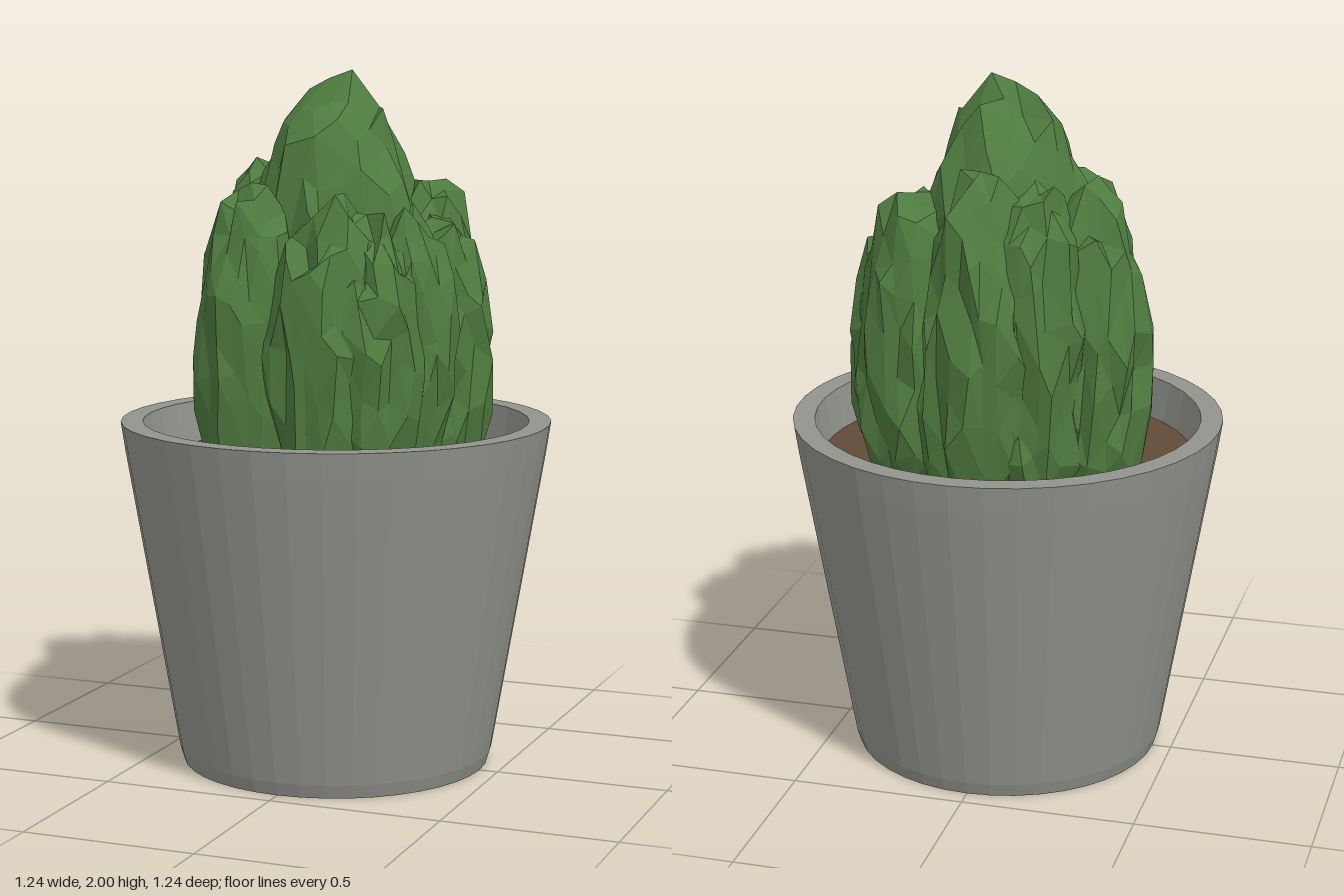
import * as THREE from 'three';
import { mergeVertices, mergeGeometries } from 'three/addons/utils/BufferGeometryUtils.js';

const SOIL_Y = 0.88;

const material = (name, color) => {
  const m = new THREE.MeshStandardMaterial({ color, flatShading: true });
  m.name = name;
  return m;
};

// Small seeded generator for the rough foliage
function seeded(seed) {
  return () => {
    seed = (seed * 16807) % 2147483647;
    return seed / 2147483647;
  };
}

// One upright, craggy clump of leaves, cut off at the soil
function foliageLobe(x, z, radius, top, detail, rand) {
  let g = new THREE.IcosahedronGeometry(1, detail);
  g.deleteAttribute('uv');
  g.deleteAttribute('normal');
  g = mergeVertices(g, 1e-3);
  const p = g.attributes.position;
  const middle = 1.2;
  for (let i = 0; i < p.count; i++) {
    const swell = radius * (0.92 + 0.26 * rand());
    const rise = p.getY(i) > 0 ? top - middle : 0.5;
    const y = middle + p.getY(i) * rise + (rand() - 0.5) * 0.09;
    p.setXYZ(
      i,
      x + p.getX(i) * swell + (rand() - 0.5) * 0.03,
      Math.max(y, SOIL_Y - 0.01),
      z + p.getZ(i) * swell + (rand() - 0.5) * 0.03
    );
  }
  return g;
}

export function createModel() {
  const group = new THREE.Group();
  group.name = 'pottedShrub';
  const add = (name, geometry, mat) => {
    const mesh = new THREE.Mesh(geometry, mat);
    mesh.name = name;
    group.add(mesh);
    return mesh;
  };

  // Tapered pot: base, outer wall, flat rim and inner wall
  const profile = [
    [0, 0], [0.445, 0], [0.457, 0.04], [0.608, 0.92], [0.62, 1],
    [0.557, 1], [0.535, SOIL_Y - 0.02],
  ].map(([r, y]) => new THREE.Vector2(r, y));
  add('pot', new THREE.LatheGeometry(profile, 40), material('stoneGrey', 0x91938c));

  // Soil disc
  const soil = add('soil', new THREE.CircleGeometry(0.539, 40), material('soilBrown', 0x614b39));
  soil.rotation.x = -Math.PI / 2;
  soil.position.y = SOIL_Y;

  // Shrub: a tall core ringed by shorter clumps [x, z, radius, top, detail]
  const rand = seeded(4217);
  const lobes = [
    [0, -0.01, 0.27, 1.98, 4],
    [-0.27, -0.1, 0.155, 1.72, 3],
    [-0.13, -0.2, 0.15, 1.74, 3],
    [0.01, -0.23, 0.165, 1.76, 3],
    [0.23, -0.16, 0.155, 1.7, 3],
    [0.27, -0.06, 0.155, 1.6, 3],
    [0.23, 0.08, 0.15, 1.62, 3],
    [0.18, 0.22, 0.15, 1.6, 3],
    [0.08, 0.26, 0.155, 1.66, 3],
    [-0.16, 0.22, 0.16, 1.68, 3],
    [-0.21, 0.07, 0.145, 1.66, 3],
  ];
  const foliage = mergeGeometries(lobes.map((l) => foliageLobe(...l, rand)));

  // Stretch so the tallest tip reaches full height
  foliage.computeBoundingBox();
  const stretch = (2 - SOIL_Y) / (foliage.boundingBox.max.y - SOIL_Y);
  foliage.translate(0, -SOIL_Y, 0).scale(1, stretch, 1).translate(0, SOIL_Y, 0);
  foliage.computeVertexNormals();
  add('foliage', foliage, material('leafGreen', 0x4f7b3f));

  return group;
}
